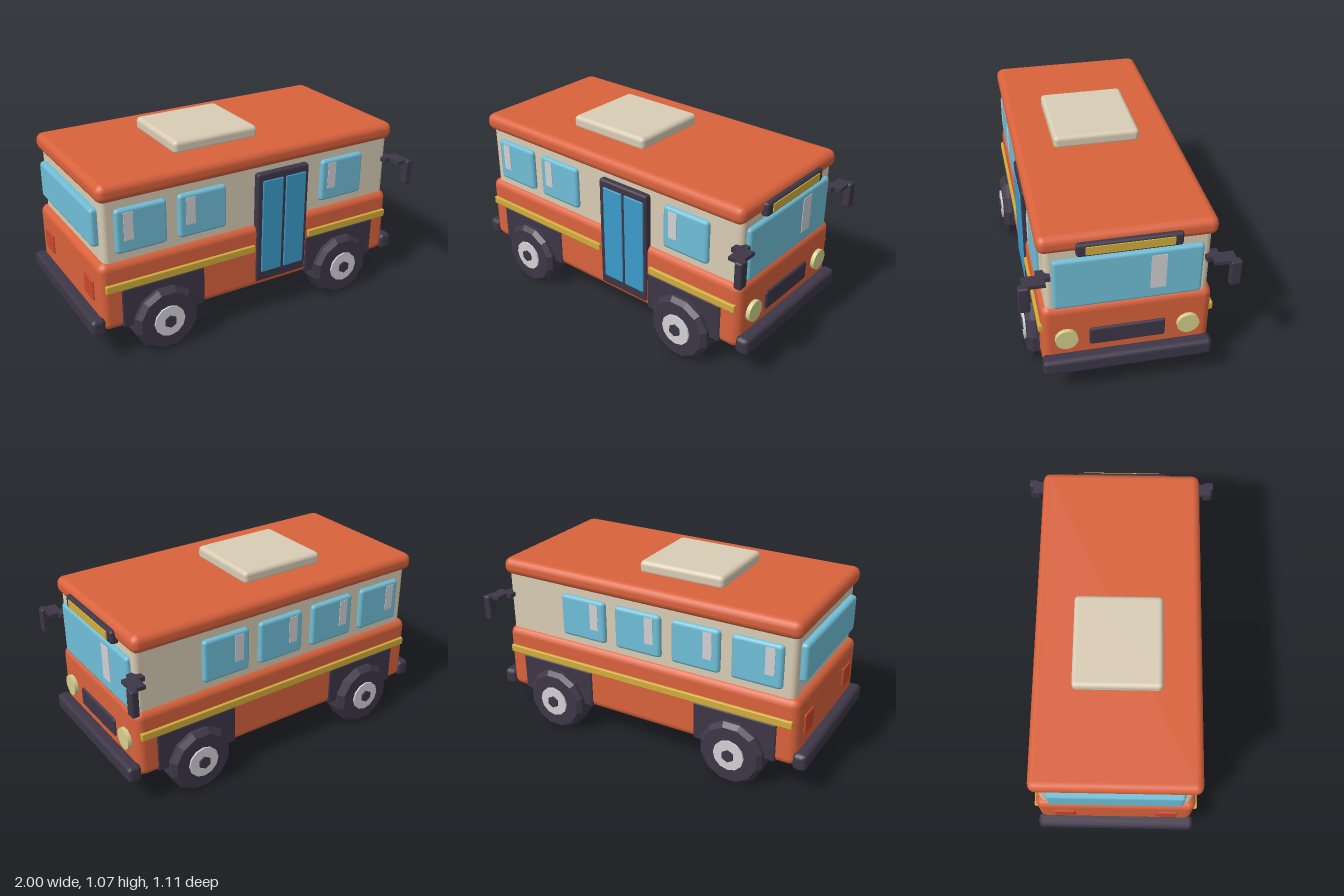
import * as THREE from 'three';
import { RoundedBoxGeometry } from 'three/addons/geometries/RoundedBoxGeometry.js';

const paint = (name, color) => {
  const m = new THREE.MeshStandardMaterial({ color });
  m.name = name;
  return m;
};

export function createModel() {
  const bus = new THREE.Group();
  bus.name = 'bus';
  const red = paint('orangeRed', 0xd9623c);
  const tail = paint('tailRed', 0xc8482c);
  const cream = paint('cream', 0xd8ccb4);
  const dark = paint('darkPlum', 0x3d3647);
  const glass = paint('glassBlue', 0x70bfd8);
  const doorBlue = paint('doorBlue', 0x3c9ccb);
  const gold = paint('gold', 0xd2ac3a);
  const lamp = paint('paleYellow', 0xd4d08c);
  const silver = paint('silver', 0xd2d0d4);

  const add = (name, geo, mat, parent = bus) => {
    const mesh = new THREE.Mesh(geo, mat);
    mesh.name = name;
    parent.add(mesh);
    return mesh;
  };
  // Box from min/max bounds, with an optional rounded edge
  const box = (name, mat, [x0, x1], [y0, y1], [z0, z1], r = 0, seg = 1) => {
    const s = [x1 - x0, y1 - y0, z1 - z0];
    const geo = r ? new RoundedBoxGeometry(...s, seg, r) : new THREE.BoxGeometry(...s);
    geo.translate((x0 + x1) / 2, (y0 + y1) / 2, (z0 + z1) / 2);
    return add(name, geo, mat);
  };
  // Interval on the +z or -z side
  const side = (s, a, b) => (s > 0 ? [a, b] : [-b, -a]);

  // Main shell
  box('lowerBody', red, [-0.94, 0.925], [0.185, 0.58], [-0.445, 0.445], 0.045, 2);
  box('cabin', cream, [-0.905, 0.905], [0.53, 0.95], [-0.42, 0.42], 0.03, 2);
  box('roof', red, [-0.93, 0.92], [0.915, 1.015], [-0.452, 0.452], 0.042, 2);
  box('roofHatch', cream, [-0.4, 0.12], [1.0, 1.077], [-0.24, 0.24], 0.025, 2);
  box('frontBumper', dark, [0.91, 0.99], [0.175, 0.275], [-0.45, 0.45], 0.025);
  box('rearBumper', dark, [-1, -0.92], [0.175, 0.275], [-0.45, 0.45], 0.025);

  // Side windows, each with a glint plate
  const sideWindow = (x, s) => {
    box('sideWindow', glass, [x - 0.145, x + 0.145], [0.62, 0.87], side(s, 0.4, 0.444), 0.02);
    box('windowGlint', silver, [x - 0.103, x - 0.05], [0.695, 0.85], side(s, 0.441, 0.447));
  };
  [-0.695, -0.34, 0.57].forEach((x) => sideWindow(x, 1));
  [-0.695, -0.34, 0.017, 0.373].forEach((x) => sideWindow(x, -1));

  // Windscreen and rear window
  box('windscreen', glass, [0.87, 0.928], [0.575, 0.88], [-0.382, 0.382], 0.02);
  box('windscreenGlint', silver, [0.925, 0.931], [0.645, 0.85], [-0.19, -0.11]);
  box('rearWindow', glass, [-0.943, -0.88], [0.655, 0.87], [-0.37, 0.37], 0.02);

  // Folding door
  box('doorFrame', dark, [-0.01, 0.325], [0.225, 0.885], [0.38, 0.455], 0.012);
  for (const x of [0.02, 0.17]) {
    box('doorPanel', doorBlue, [x, x + 0.135], [0.28, 0.845], [0.44, 0.461], 0.008);
  }

  // Trim stripes
  box('stripe', gold, [-0.915, -0.02], [0.42, 0.465], [0.43, 0.46], 0.006);
  box('stripe', gold, [0.34, 0.905], [0.42, 0.465], [0.43, 0.46], 0.006);
  box('stripe', gold, [-0.915, 0.905], [0.42, 0.465], [-0.46, -0.43], 0.006);

  // Destination sign and grille
  box('signFrame', dark, [0.88, 0.943], [0.903, 0.98], [-0.265, 0.265], 0.015);
  box('signPanel', gold, [0.93, 0.949], [0.92, 0.965], [-0.22, 0.22]);
  box('grille', dark, [0.9, 0.937], [0.315, 0.425], [-0.2, 0.2], 0.012);

  // Wheel profile revolved about its axle, chamfered at both rims
  const tyreGeo = new THREE.LatheGeometry([
    [0, -0.075], [0.165, -0.075], [0.19, -0.05], [0.19, 0.05], [0.165, 0.075], [0, 0.075],
  ].map(([r, y]) => new THREE.Vector2(r, y)), 12, Math.PI / 12).toNonIndexed();
  tyreGeo.computeVertexNormals();
  const hubGeo = new THREE.CylinderGeometry(0.09, 0.09, 0.05, 12);
  const capGeo = new THREE.CylinderGeometry(0.036, 0.036, 0.06, 6);

  for (const s of [1, -1]) {
    for (const x of [-0.585, 0.572]) {
      box('wheelArch', dark, [x - 0.245, x + 0.245], [0.19, 0.42], side(s, 0.38, 0.453), 0.012);
      const wheel = new THREE.Group();
      wheel.name = 'wheel';
      wheel.position.set(x, 0.187, s * 0.425);
      wheel.rotation.x = s * Math.PI / 2;
      add('tyre', tyreGeo, dark, wheel);
      add('hub', hubGeo, silver, wheel).position.y = 0.06;
      add('hubCap', capGeo, dark, wheel).position.y = 0.065;
      bus.add(wheel);
    }
    // Lights
    const light = add('headlight', new THREE.CylinderGeometry(0.06, 0.06, 0.05, 14), lamp);
    light.rotation.z = -Math.PI / 2;
    light.position.set(0.923, 0.38, s * 0.32);
    box('tailLight', tail, [-0.95, -0.92], [0.34, 0.46], side(s, 0.23, 0.35), 0.008);
    // Wing mirrors
    box('mirrorArm', dark, [0.905, 0.98], [0.78, 0.8], side(s, 0.42, 0.535));
    box('mirrorBracket', dark, [0.87, 0.935], [0.775, 0.8], side(s, 0.39, 0.46));
    box('mirrorHead', dark, [0.955, 0.998], [0.65, 0.8], side(s, 0.5, 0.557), 0.01);
  }
  return bus;
}
